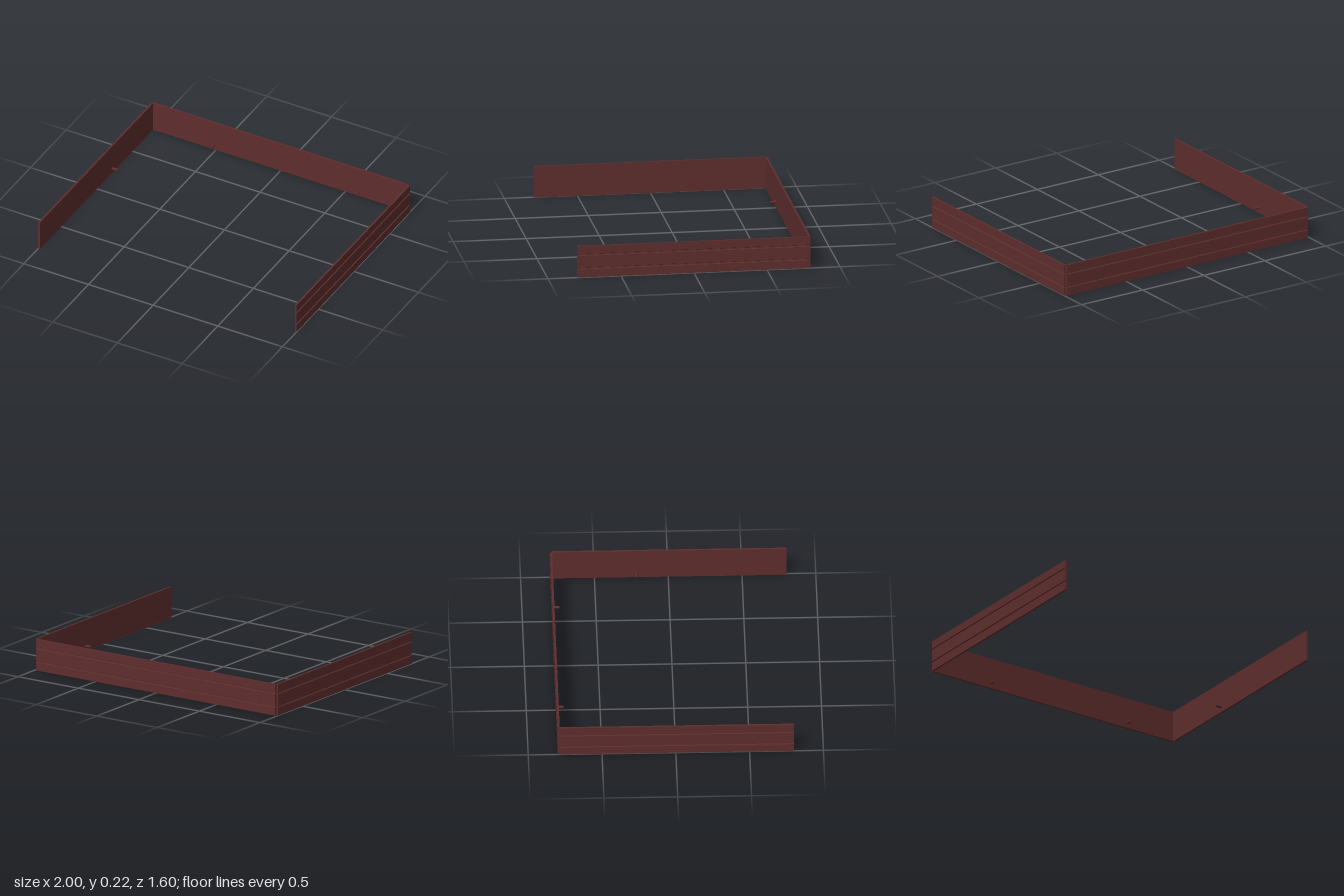
import * as THREE from 'three';

const HEIGHT = 0.22, THICK = 0.014;

// Grooved board profile: outer face on +x (x = 0), inner face at x = -THICK
function wallGeometry(length) {
  const s = new THREE.Shape();
  s.moveTo(-THICK, 0);
  s.lineTo(0, 0);
  for (const y of [0.063, 0.158]) {
    s.lineTo(0, y - 0.007);
    s.lineTo(-0.007, y - 0.004);
    s.lineTo(-0.007, y + 0.004);
    s.lineTo(0, y + 0.007);
  }
  s.lineTo(0, HEIGHT);
  s.lineTo(-THICK, HEIGHT);
  s.closePath();
  const geo = new THREE.ExtrudeGeometry(s, { depth: length, bevelEnabled: false });
  return geo.translate(0, 0, -length / 2);
}

export function createModel() {
  const group = new THREE.Group();
  const wood = new THREE.MeshStandardMaterial({ color: 0x5e2d2d });
  wood.name = 'dark red wood';

  function addWall(name, length, x, z, turn) {
    const wall = new THREE.Mesh(wallGeometry(length), wood);
    wall.name = name;
    wall.position.set(x, 0, z);
    wall.rotation.y = turn;
    group.add(wall);
  }

  // Three grooved walls, open at the front
  const sideLength = 1.587;
  addWall('leftWall', sideLength, 1, 0.8 - sideLength / 2, 0);
  addWall('rightWall', sideLength, -1, 0.8 - sideLength / 2, Math.PI);
  addWall('backWall', 1.972, 0, -0.8, Math.PI / 2);

  // Short pegs low on the inner faces
  const pegGeo = new THREE.CylinderGeometry(0.009, 0.009, 0.05, 16).rotateZ(Math.PI / 2);
  function addPeg(name, x, z, turn) {
    const peg = new THREE.Mesh(pegGeo, wood);
    peg.name = name;
    peg.position.set(x, 0.037, z);
    peg.rotation.y = turn;
    group.add(peg);
  }
  addPeg('leftPeg', 0.967, -0.215, 0);
  addPeg('rightPeg', -0.967, -0.215, 0);
  addPeg('backPegRight', -0.515, -0.772, Math.PI / 2);
  addPeg('backPegLeft', 0.61, -0.772, Math.PI / 2);

  return group;
}
